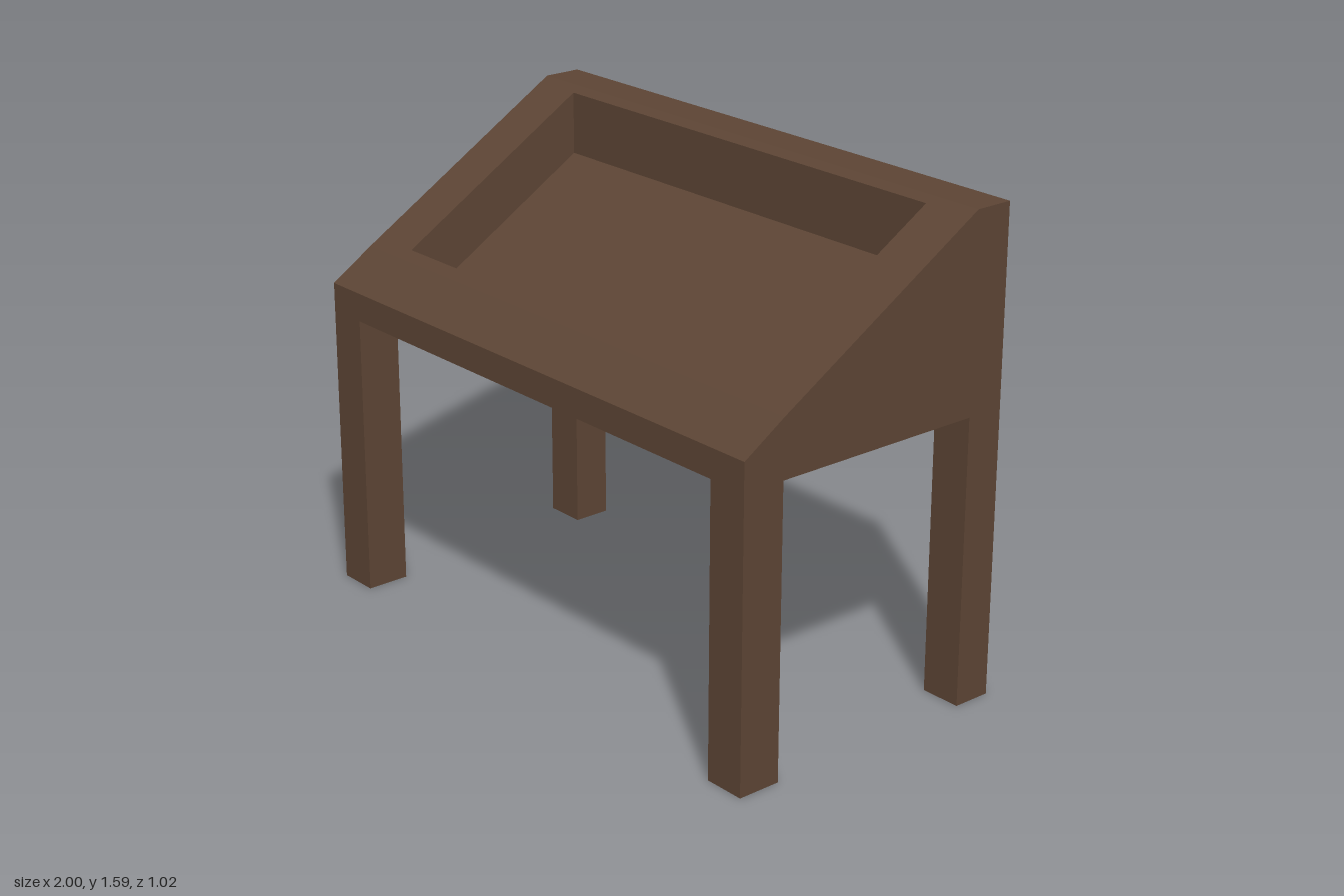
import * as THREE from 'three';
import { mergeGeometries } from 'three/addons/utils/BufferGeometryUtils.js';

const W = 1;                                  // half width
const UNDER = 0.95;                           // underside of the case
const FRONT = { z: 0.51, y: 1.045 };
const BREAK = { z: 0.363, y: 1.14 };          // lower lip meets the main slope
const RIDGE = { z: -0.38, y: 1.59 };
const BACK = -0.51;
const TRAY = { x: 0.82, back: -0.35, front: 0.325, depth: 0.207 };

const slopeY = (z) =>
  BREAK.y + ((BREAK.z - z) / (BREAK.z - RIDGE.z)) * (RIDGE.y - BREAK.y);

// Four corners, counter-clockwise seen from outside
function quad(a, b, c, d) {
  const g = new THREE.BufferGeometry();
  g.setAttribute('position', new THREE.Float32BufferAttribute([a, b, c, a, c, d].flat(), 3));
  return g;
}

// Full-width strip from a lower/front edge to an upper/back edge
const strip = (z0, y0, z1, y1) =>
  quad([-W, y0, z0], [W, y0, z0], [W, y1, z1], [-W, y1, z1]);

function merge(parts) {
  const g = mergeGeometries(parts.map((p) => {
    const q = p.index ? p.toNonIndexed() : p;
    q.deleteAttribute('uv');
    q.deleteAttribute('normal');
    return q;
  }));
  g.computeVertexNormals();
  return g;
}

// Side panel in profile, facing +x (s = 1) or -x (s = -1)
function sidePanel(s) {
  const profile = [
    [FRONT.z, UNDER], [FRONT.z, FRONT.y], [BREAK.z, BREAK.y],
    [RIDGE.z, RIDGE.y], [BACK, RIDGE.y], [BACK, UNDER],
  ].map(([z, y]) => new THREE.Vector2(-s * z, y));
  return new THREE.ShapeGeometry(new THREE.Shape(profile))
    .rotateY(s * Math.PI / 2).translate(s * W, 0, 0);
}

// Sloped top with the tray opening cut out
function slopedTop() {
  const rect = (x, back, front) => [
    new THREE.Vector2(-x, -front), new THREE.Vector2(x, -front),
    new THREE.Vector2(x, -back), new THREE.Vector2(-x, -back),
  ];
  const shape = new THREE.Shape(rect(W, RIDGE.z, BREAK.z));
  shape.holes.push(new THREE.Path(rect(TRAY.x, TRAY.back, TRAY.front)));
  const g = new THREE.ShapeGeometry(shape).rotateX(-Math.PI / 2);
  const p = g.attributes.position;
  for (let i = 0; i < p.count; i++) p.setY(i, slopeY(p.getZ(i)));
  return g;
}

// Recessed tray: floor parallel to the slope, upright walls
function tray() {
  const { x, back, front, depth } = TRAY;
  const rim = [[-x, back], [x, back], [x, front], [-x, front]];
  const low = ([px, z]) => [px, slopeY(z) - depth, z];
  const high = ([px, z]) => [px, slopeY(z), z];
  const parts = [quad(low(rim[3]), low(rim[2]), low(rim[1]), low(rim[0]))];
  rim.forEach((a, i) => {
    const b = rim[(i + 1) % 4];
    parts.push(quad(low(a), low(b), high(b), high(a)));
  });
  return merge(parts);
}

export function createModel() {
  const group = new THREE.Group();
  const wood = new THREE.MeshStandardMaterial({ color: 0x5c4434 });
  wood.name = 'dark brown wood';
  const add = (name, geometry) => {
    const mesh = new THREE.Mesh(geometry, wood);
    mesh.name = name;
    group.add(mesh);
    return mesh;
  };

  add('caseBody', merge([
    sidePanel(1),
    sidePanel(-1),
    strip(FRONT.z, UNDER, FRONT.z, FRONT.y),        // front
    strip(FRONT.z, FRONT.y, BREAK.z, BREAK.y),      // lower lip
    slopedTop(),
    strip(RIDGE.z, RIDGE.y, BACK, RIDGE.y),         // flat ridge
    strip(BACK, RIDGE.y, BACK, UNDER),              // back
    strip(BACK, UNDER, FRONT.z, UNDER),             // underside
  ]));
  add('displayTray', tray());

  // Legs, flush with the outer faces
  const legW = 0.14;
  for (const [side, s] of [['left', 1], ['right', -1]]) {
    for (const [end, z0, z1] of [['Front', BREAK.z, FRONT.z], ['Back', BACK, RIDGE.z]]) {
      const leg = add(`${side}${end}Leg`, new THREE.BoxGeometry(legW, UNDER, z1 - z0));
      leg.position.set(s * (W - legW / 2), UNDER / 2, (z0 + z1) / 2);
    }
  }
  return group;
}
